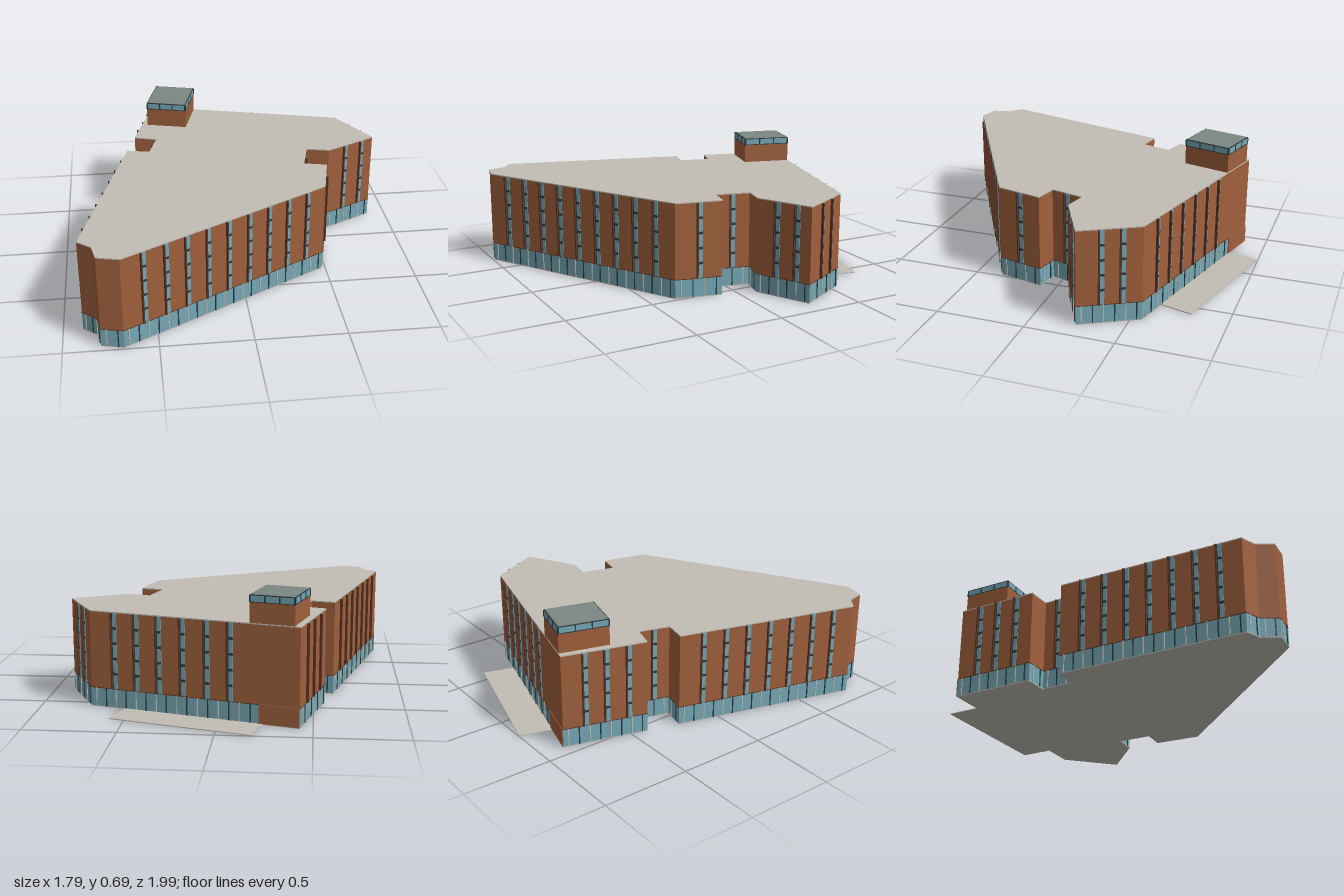
import * as THREE from 'three';

const material = (name, color) => {
  const m = new THREE.MeshStandardMaterial({ color });
  m.name = name;
  return m;
};

export function createModel() {
  const brick = material('brick', 0xa0603c);
  const darkBrick = material('dark brick', 0x5e3524);
  const glass = material('glass', 0x74a8b6);
  const frame = material('dark frame', 0x2e3a3e);
  const concrete = material('concrete', 0xc2beb4);
  const slate = material('slate roof', 0x7c8884);

  const model = new THREE.Group();
  model.name = 'building';

  // Extrudes an [x, z] outline from height y0 to y1
  const slab = (name, outline, y0, y1, mat) => {
    const shape = new THREE.Shape(outline.map(([x, z]) => new THREE.Vector2(x, -z)));
    const geo = new THREE.ExtrudeGeometry(shape, { depth: y1 - y0, bevelEnabled: false });
    geo.rotateX(-Math.PI / 2).translate(0, y0, 0);
    const mesh = new THREE.Mesh(geo, mat);
    mesh.name = name;
    model.add(mesh);
  };

  // Wall-local frame: x runs rightwards seen from outside, z points outwards
  const wallGroup = (name, a, b) => {
    const dx = b[0] - a[0], dz = b[1] - a[1];
    const group = new THREE.Group();
    group.name = name;
    group.position.set(b[0], 0, b[1]);
    group.rotation.y = Math.atan2(dz, -dx);
    model.add(group);
    return { group, length: Math.hypot(dx, dz) };
  };

  // Box on a wall: left/right edges, bottom/top, how far it stands out
  const plate = (group, name, x0, x1, y0, y1, out, mat) => {
    const mesh = new THREE.Mesh(new THREE.BoxGeometry(x1 - x0, y1 - y0, out), mat);
    mesh.position.set((x0 + x1) / 2, (y0 + y1) / 2, out / 2);
    mesh.name = name;
    group.add(mesh);
  };

  // Outline corners, each with the window positions (fractions) of the wall that starts there
  const walls = [
    [-0.43, -0.87, [0.32, 0.43, 0.545, 0.66, 0.77, 0.88]],
    [0.72, -0.56, [0.3, 0.62]],
    [0.89, -0.25, [0.25, 0.62]],
    [0.59, -0.10, []],
    [0.46, -0.13, [0.5]],
    [0.41, 0.06, []],
    [0.54, 0.09, [0.48]],
    [0.48, 0.35, [0.095, 0.197, 0.297, 0.397, 0.5, 0.6, 0.7, 0.797, 0.9]],
    [-0.68, 0.99, []],
    [-0.80, 0.96, []],
    [-0.82, 0.86, []],
    [-0.895, 0.80, [0.12, 0.245, 0.37, 0.495, 0.62, 0.745, 0.87]],
    [-0.61, -0.23, []],
    [-0.48, -0.20, [0.5]],
    [-0.43, -0.37, []],
    [-0.56, -0.41, [0.22, 0.48, 0.73]],
  ];
  const outline = walls.map(([x, z]) => [x, z]);

  // Main body, layer by layer
  slab('floorSlab', outline, 0, 0.005, concrete);
  slab('groundFloorGlazing', outline, 0.005, 0.108, glass);
  slab('brickUpperFloors', outline, 0.108, 0.534, brick);
  slab('mainRoof', outline, 0.534, 0.54, concrete);
  slab('rearTerrace', [[-0.19, -1], [0.58, -0.79], [0.53, -0.612], [-0.24, -0.819]], 0, 0.005, concrete);

  walls.forEach(([x, z, windows], i) => {
    const { group, length } = wallGroup('wallDetails', [x, z], outline[(i + 1) % outline.length]);

    // Ground floor mullions, alternating light and dark
    const bays = Math.max(1, Math.round(length / 0.06));
    for (let k = 0; k < bays; k++) {
      const c = ((k + 0.5) / bays) * length;
      plate(group, 'mullion', c - 0.003, c + 0.003, 0.005, 0.108, 0.004, k % 2 ? frame : concrete);
    }
    plate(group, 'sillLine', 0, length, 0.106, 0.11, 0.002, darkBrick);

    // Full-height window strips, each with a projecting fin and floor bands
    for (const t of windows) {
      const c = (1 - t) * length;
      plate(group, 'windowStrip', c - 0.007, c + 0.016, 0.11, 0.534, 0.003, glass);
      plate(group, 'windowEdge', c - 0.011, c - 0.007, 0.11, 0.534, 0.004, frame);
      plate(group, 'windowFin', c - 0.018, c - 0.011, 0.11, 0.534, 0.014, darkBrick);
      for (let f = 1; f <= 4; f++) {
        const y = 0.11 + f * 0.085;
        plate(group, 'floorBand', c - 0.007, c + 0.016, y - 0.007, y + 0.007, 0.004, frame);
      }
    }

    // Solid brick base at the stair tower end of the rear wall
    if (i === 0) plate(group, 'brickBase', length - 0.22, length, 0.005, 0.11, 0.005, brick);
  });

  // Roof tower with a clerestory band
  const tower = [[-0.40, -0.86], [-0.165, -0.797], [-0.238, -0.527], [-0.473, -0.59]];
  const centre = [-0.319, -0.6935];
  const inner = tower.map(p => p.map((v, k) => centre[k] + (v - centre[k]) * 0.96));
  slab('towerBrick', tower, 0.54, 0.65, brick);
  slab('towerGlazing', tower, 0.65, 0.684, glass);
  slab('towerRoofEdge', tower, 0.684, 0.688, frame);
  slab('towerRoof', inner, 0.688, 0.69, slate);
  tower.forEach((a, i) => {
    const { group, length } = wallGroup('towerWallDetails', a, tower[(i + 1) % 4]);
    plate(group, 'towerSill', 0, length, 0.648, 0.652, 0.002, frame);
    for (let k = 0; k <= 3; k++) {
      const c = 0.003 + (k / 3) * (length - 0.006);
      plate(group, 'towerMullion', c - 0.003, c + 0.003, 0.652, 0.684, 0.003, frame);
    }
  });

  return model;
}
